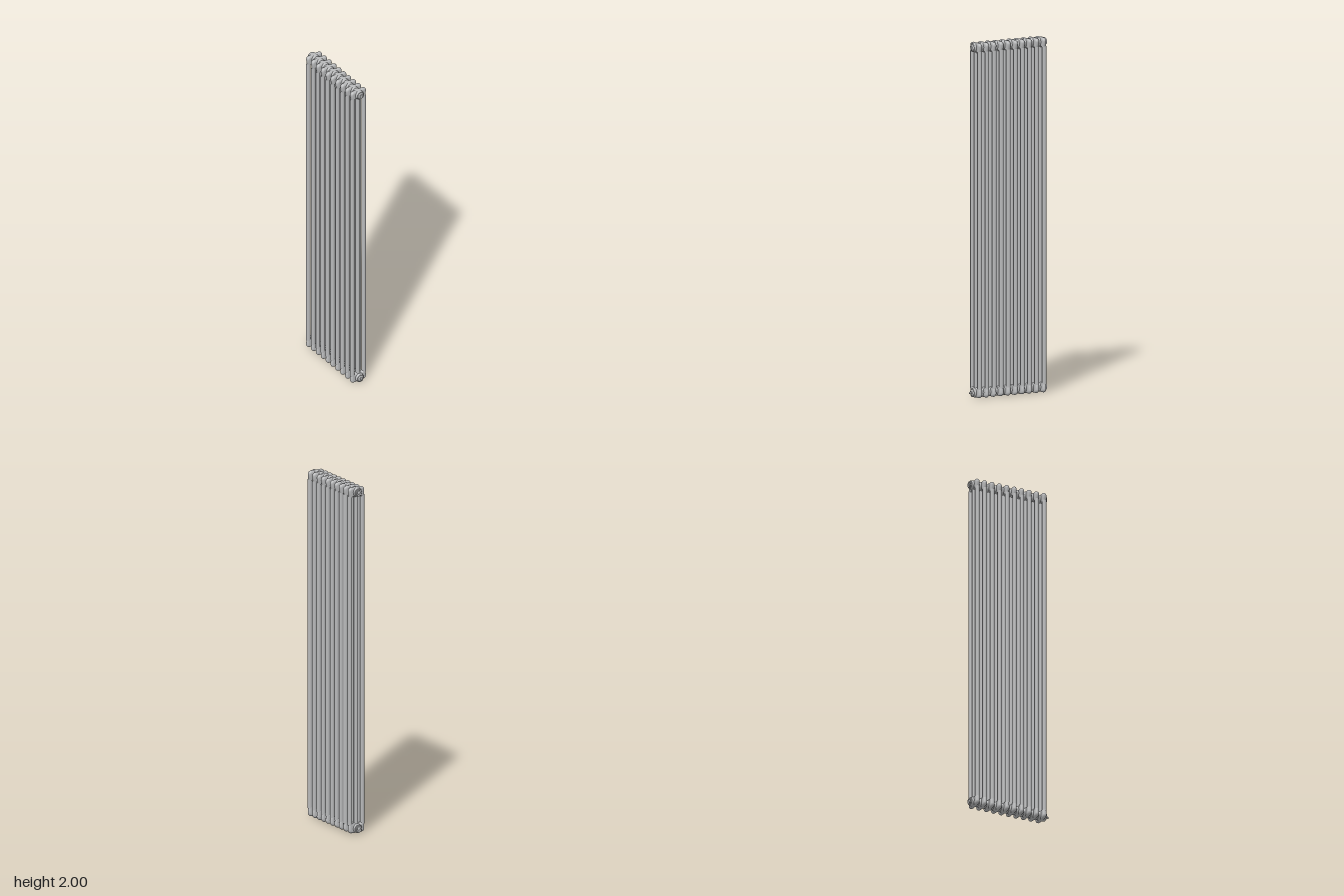
import * as THREE from 'three';
import { mergeVertices } from 'three/addons/utils/BufferGeometryUtils.js';

const SECTIONS = 10, PITCH = 0.0462, FIRST_X = -0.2155;
const TUBE_R = 0.0125, TUBE_Z = 0.04;
const TOP = 1.973, BOTTOM = 0.032; // header axis heights

// Lathe turned to lie along x; points are [x, radius]
function turned(points, segments = 32) {
  const g = new THREE.LatheGeometry(points.map(([x, r]) => new THREE.Vector2(r, x)), segments);
  return g.rotateZ(-Math.PI / 2);
}

// Rounded head joining three columns, centred on the header axis
function headGeometry() {
  const s = new THREE.Shape();
  const b = -0.024, t = 0.0145, w = TUBE_Z - 0.001, c = 0.008;
  s.moveTo(-w, b);
  s.quadraticCurveTo(-0.02, b + 0.022, 0, b);
  s.quadraticCurveTo(0.02, b + 0.022, w, b);
  s.lineTo(w, t - c);
  s.quadraticCurveTo(w, t, w - c, t);
  s.lineTo(-w + c, t);
  s.quadraticCurveTo(-w, t, -w, t - c);
  s.closePath();
  let g = new THREE.ExtrudeGeometry(s, {
    depth: 0.001, bevelEnabled: true, bevelSize: TUBE_R, bevelThickness: TUBE_R - 0.0005,
    bevelSegments: 6, curveSegments: 8,
  });
  g.translate(0, 0, -0.0005);
  g.deleteAttribute('uv');
  g.deleteAttribute('normal');
  g = mergeVertices(g, 1e-5);
  g.computeVertexNormals();
  return g.rotateY(Math.PI / 2);
}

export function createModel() {
  const model = new THREE.Group();
  model.name = 'columnRadiator';
  const paint = new THREE.MeshStandardMaterial({ color: 0xb8b9ba });
  paint.name = 'grey enamel';

  const add = (parent, name, geometry, x = 0, y = 0, z = 0) => {
    const m = new THREE.Mesh(geometry, paint);
    m.name = name;
    m.position.set(x, y, z);
    parent.add(m);
    return m;
  };

  const tube = new THREE.CylinderGeometry(TUBE_R, TUBE_R, TOP - BOTTOM - 0.04, 20, 1, true);
  const head = headGeometry();
  const h = PITCH / 2;
  // Header hub: full beside the columns, necking down to the joint
  const hub = turned([
    [-h, 0.021], [-h + 0.001, 0.0235], [-0.0175, 0.0245], [-0.014, 0.0255], [-0.011, 0.0265],
    [0.011, 0.0265], [0.014, 0.0255], [0.0175, 0.0245], [h - 0.001, 0.0235], [h, 0.021],
  ]);

  // Repeating column sections
  for (let i = 0; i < SECTIONS; i++) {
    const section = new THREE.Group();
    section.name = `section${i + 1}`;
    section.position.x = FIRST_X + i * PITCH;
    for (const z of [-TUBE_Z, 0, TUBE_Z]) add(section, 'columnTube', tube, 0, (TOP + BOTTOM) / 2, z);
    for (const y of [TOP, BOTTOM]) {
      const m = add(section, 'head', head, 0, y);
      if (y === BOTTOM) m.rotation.x = Math.PI;
      add(section, 'headerHub', hub, 0, y);
    }
    model.add(section);
  }

  // End fittings on both headers
  const leftEnd = FIRST_X - h, rightEnd = FIRST_X + (SECTIONS - 1) * PITCH + h;
  const collar = turned([[-0.004, 0], [-0.004, 0.022], [-0.003, 0.0235], [0.003, 0.0235], [0.004, 0.022], [0.004, 0]]);
  const cap = turned([[-0.0105, 0], [-0.0105, 0.008], [-0.007, 0.008], [-0.007, 0.012],
    [-0.0105, 0.012], [-0.0105, 0.017], [-0.009, 0.019], [0, 0.019]]);
  const step = turned([[0, 0.019], [0.003, 0.019], [0.005, 0.016], [0.0075, 0.014], [0.0075, 0]]);
  const hex = new THREE.CylinderGeometry(0.0095, 0.0095, 0.006, 6).rotateZ(Math.PI / 2);
  const stem = turned([[0, 0.006], [0.008, 0.006], [0.009, 0.004], [0.0115, 0.004], [0.0115, 0]], 16);
  const key = new THREE.BoxGeometry(0.004, 0.009, 0.004);
  for (const y of [TOP, BOTTOM]) {
    add(model, 'endCollar', collar, leftEnd, y);
    add(model, 'endCap', cap, leftEnd, y);
    add(model, 'plugCollar', collar, rightEnd - 0.001, y);
    add(model, 'plugStep', step, rightEnd, y);
    add(model, 'plugHex', hex, rightEnd + 0.007, y);
    if (y === BOTTOM) {
      add(model, 'valveStem', stem, rightEnd + 0.01, y);
      add(model, 'valveKey', key, rightEnd + 0.021, y);
    }
  }
  return model;
}
